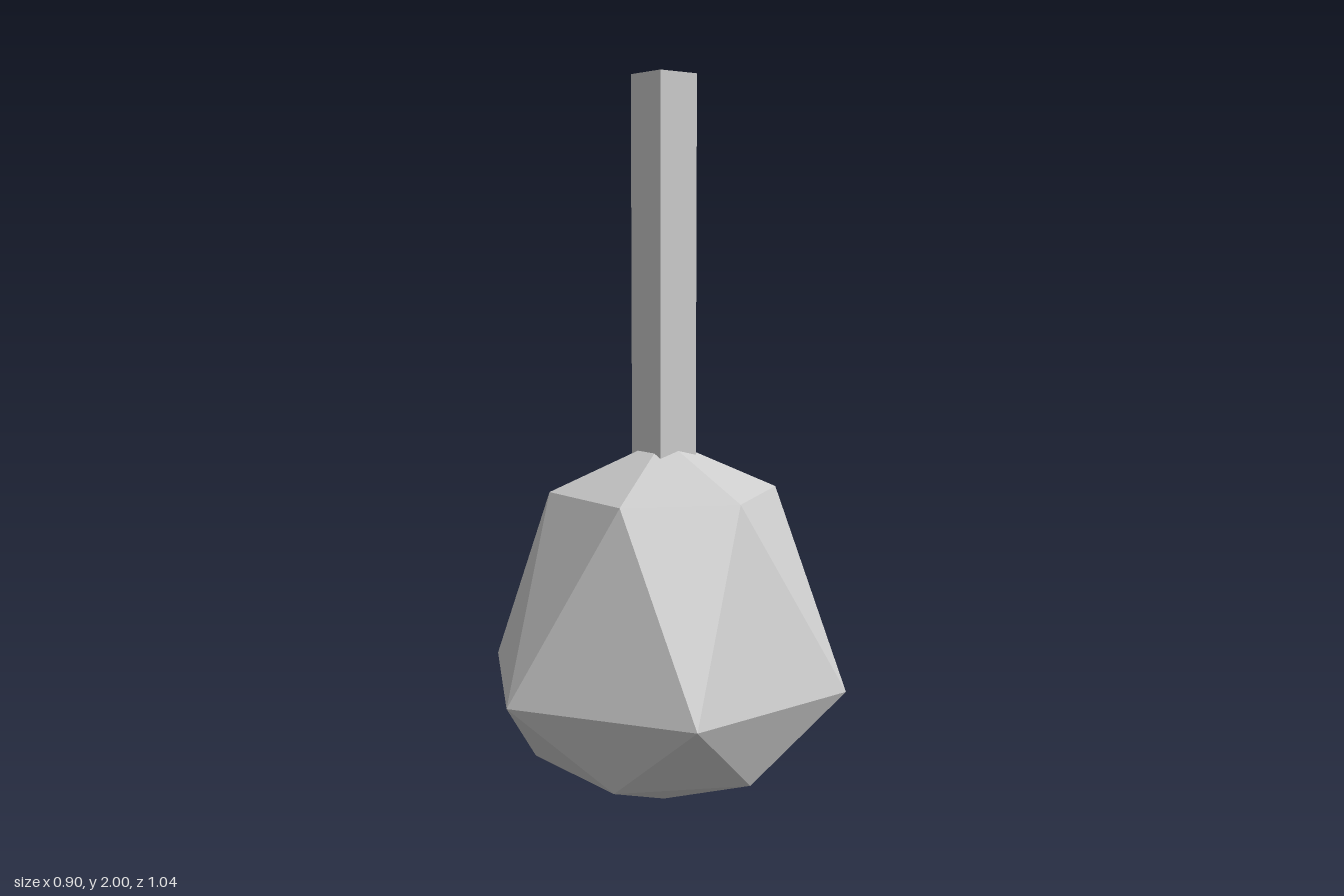
import * as THREE from 'three';

// Faceted solid: two poles joined by hexagonal rings, each turned half a step from the last
function facetedBody(bottomY, rings, topY) {
  const n = 6, positions = [0, bottomY, 0], index = [];
  rings.forEach(([y, radius], k) => {
    for (let i = 0; i < n; i++) {
      const a = (i + (k % 2) / 2) * Math.PI * 2 / n;
      positions.push(radius * Math.cos(a), y, -radius * Math.sin(a));
    }
  });
  positions.push(0, topY, 0);
  const id = (k, i) => 1 + k * n + (i + n) % n;
  const last = rings.length - 1, top = 1 + rings.length * n;
  for (let i = 0; i < n; i++) {
    index.push(0, id(0, i + 1), id(0, i));
    index.push(top, id(last, i), id(last, i + 1));
    for (let k = 0; k < last; k++) {
      const s = k % 2;
      // one triangle stands on the lower edge, the other hangs from the upper edge
      index.push(id(k, i), id(k, i + 1), id(k + 1, i + s));
      index.push(id(k + 1, i + s), id(k, i + 1), id(k + 1, i + 1 + s));
    }
  }
  const indexed = new THREE.BufferGeometry();
  indexed.setAttribute('position', new THREE.Float32BufferAttribute(positions, 3));
  indexed.setIndex(index);
  const geometry = indexed.toNonIndexed();
  geometry.computeVertexNormals();
  return geometry;
}

export function createModel() {
  const group = new THREE.Group();
  const grey = new THREE.MeshStandardMaterial({ color: 0xcccccc });
  grey.name = 'grey';

  // Heavy faceted head, widest below the middle
  const head = new THREE.Mesh(
    facetedBody(0, [[0.148, 0.36], [0.373, 0.52], [0.89, 0.314]], 1.03), grey);
  head.name = 'head';

  // Square handle rising from the crown
  const handle = new THREE.Mesh(new THREE.BoxGeometry(0.124, 1.03, 0.124), grey);
  handle.position.y = 2 - 1.03 / 2;
  handle.name = 'handle';

  group.add(head, handle);
  return group;
}
